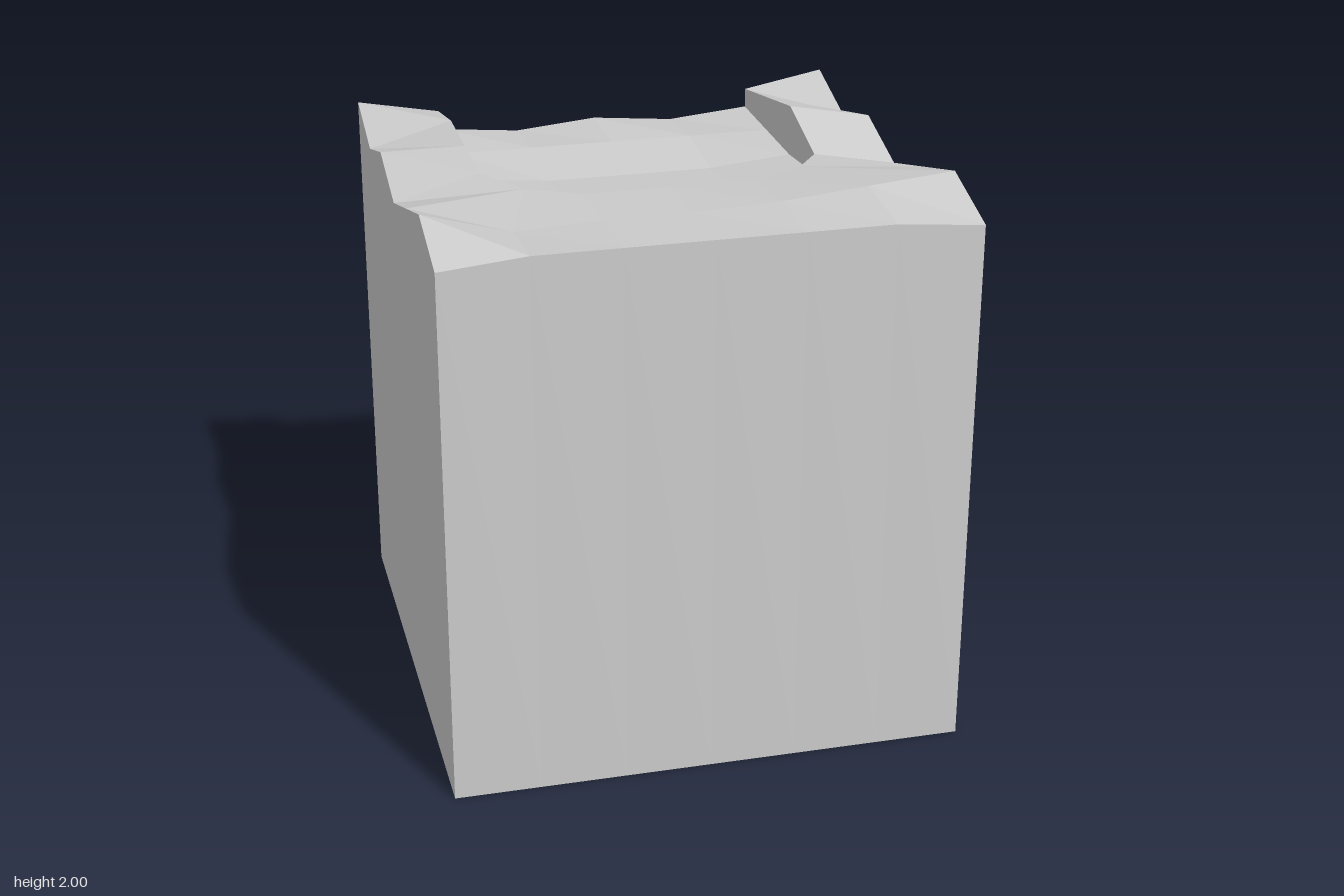
import * as THREE from 'three';

// Heights in steps of 0.0283 above 1.83; rows run back to front, columns -x to +x
const LAND = [
  [3, 1, 0, 1, 0, 1, 3],
  [0, 3, 0, 0, 0, 3, 0],
  [3, 3, 0, 0, 0, 5, 3],
  [0, 3, 0, 0, 0, 2, 0],
  [3, 3, 3, 3, 3, 3, 3],
  [6, 3, 3.5, 3.5, 4, 5, 6],
  [3, 4, 4, 4, 4, 4, 3],
];
// Sunken bed, columns 1 to 5 of the same grid
const BED = [
  [-1.5, -2.5, -1.5, -2.5, -1.5],
  [-1.5, -1.5, -1.5, -1.5, -1.5],
  [-1.5, -2.5, -2.5, -2.5, -1.5],
  [-0.5, -1.5, -1.5, -1.5, -0.5],
  [-1.5, -2, -2.5, -2, -1.5],
];

function gridPoint(row, col, level) {
  let x = -0.9 + col * 0.3;
  let z = -0.9 + row * 0.3;
  // pull in the two front corners of the bed to round its end
  if (row === 4 && (col === 1 || col === 5)) {
    x = Math.sign(x) * 0.485;
    z = 0.2;
  }
  return [x, 1.83 + level * 0.0283, z];
}
const land = (r, c) => gridPoint(r, c, LAND[r][c]);
const bed = (r, c) => gridPoint(r, c, BED[r][c - 1]);
const ground = ([x, , z]) => [x, 0, z];
const inBed = (r, c) => r < 4 && c >= 1 && c <= 4;

const quad = (a, b, c, d) => [...a, ...b, ...c, ...a, ...c, ...d];
const cell = (p, r, c) => quad(p(r, c), p(r + 1, c), p(r + 1, c + 1), p(r, c + 1));

// Vertical wall between two lines of points
function wall(top, bottom) {
  const out = [];
  for (let i = 0; i + 1 < top.length; i++) {
    out.push(...quad(top[i], bottom[i], bottom[i + 1], top[i + 1]));
  }
  return out;
}

export function createModel() {
  const group = new THREE.Group();
  const material = new THREE.MeshStandardMaterial({ color: 0xcccccc, flatShading: true });

  function add(name, positions) {
    const geometry = new THREE.BufferGeometry();
    geometry.setAttribute('position', new THREE.Float32BufferAttribute(positions, 3));
    geometry.computeVertexNormals();
    const mesh = new THREE.Mesh(geometry, material);
    mesh.name = name;
    group.add(mesh);
  }

  // Uneven ground and sunken bed
  const landFaces = [];
  const bedFaces = [];
  for (let r = 0; r < 6; r++) {
    for (let c = 0; c < 6; c++) {
      if (inBed(r, c)) bedFaces.push(...cell(bed, r, c));
      else landFaces.push(...cell(land, r, c));
    }
  }
  add('terrainSurface', landFaces);
  add('sunkenBed', bedFaces);

  // Banks around the bed, from the right back corner round to the left
  const rim = [[0, 5], [1, 5], [2, 5], [3, 5], [4, 5], [4, 4], [4, 3], [4, 2],
    [4, 1], [3, 1], [2, 1], [1, 1], [0, 1]];
  add('bank', wall(rim.map(([r, c]) => land(r, c)), rim.map(([r, c]) => bed(r, c))));

  // Outer sides down to the ground
  const up = [0, 1, 2, 3, 4, 5, 6];
  const down = [...up].reverse();
  const side = (line) => wall(line, line.map(ground));
  add('frontSide', side(up.map((c) => land(6, c))));
  add('leftSide', side(down.map((r) => land(r, 6))));
  add('rightSide', side(up.map((r) => land(r, 0))));
  add('backSide', [
    ...side([land(0, 6), land(0, 5)]),
    ...side([5, 4, 3, 2, 1].map((c) => bed(0, c))),
    ...side([land(0, 1), land(0, 0)]),
  ]);

  // Flat underside
  add('underside', quad([-0.9, 0, -0.9], [0.9, 0, -0.9], [0.9, 0, 0.9], [-0.9, 0, 0.9]));

  return group;
}
